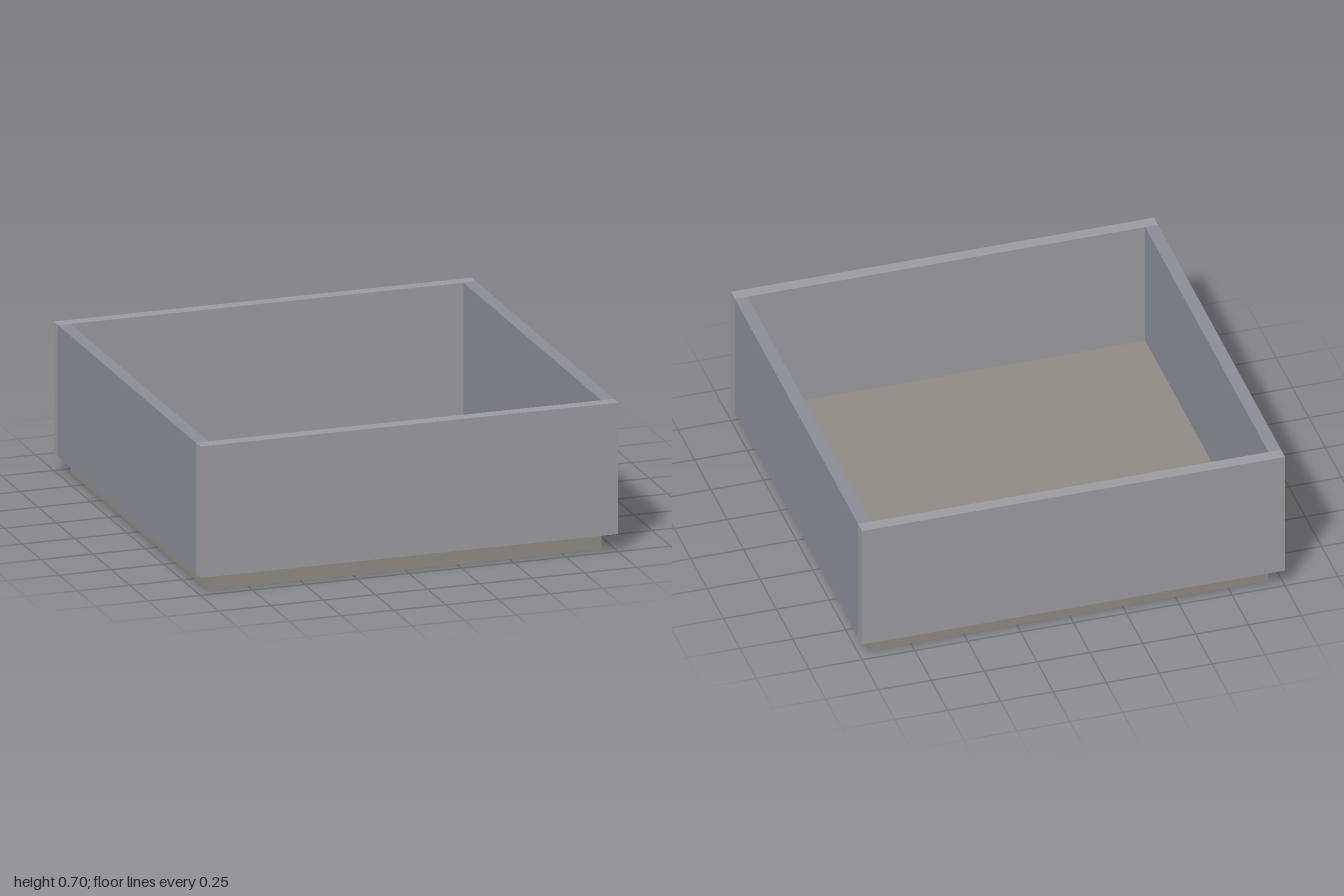
import * as THREE from 'three';

const SIZE = 2;          // outer width and depth
const WALL = 0.06;       // panel thickness
const BASE_H = 0.083;    // base board height
const TOP = 0.705;       // rim height

export function createModel() {
  const group = new THREE.Group();
  group.name = 'openTray';
  const material = (color) => new THREE.MeshStandardMaterial({ color });
  const endMaterial = material(0x9a9aa0);
  const sideMaterial = material(0x8a8d95);
  const baseMaterial = material(0x8f8a82);

  const inner = SIZE - 2 * WALL;
  const wallH = TOP - BASE_H;
  const wallY = BASE_H + wallH / 2;
  const offset = (SIZE - WALL) / 2;

  function addPanel(name, w, h, d, x, y, z, mat) {
    const mesh = new THREE.Mesh(new THREE.BoxGeometry(w, h, d), mat);
    mesh.name = name;
    mesh.position.set(x, y, z);
    group.add(mesh);
  }

  // Base board, set in below the walls and forming the floor
  addPanel('base', inner, BASE_H, inner, 0, BASE_H / 2, 0, baseMaterial);

  // Full-width front and back panels, with side panels fitted between them
  for (const s of [1, -1]) {
    addPanel(s > 0 ? 'frontWall' : 'backWall', SIZE, wallH, WALL, 0, wallY, s * offset, endMaterial);
    addPanel(s > 0 ? 'leftWall' : 'rightWall', WALL, wallH, inner, s * offset, wallY, 0, sideMaterial);
  }

  return group;
}
